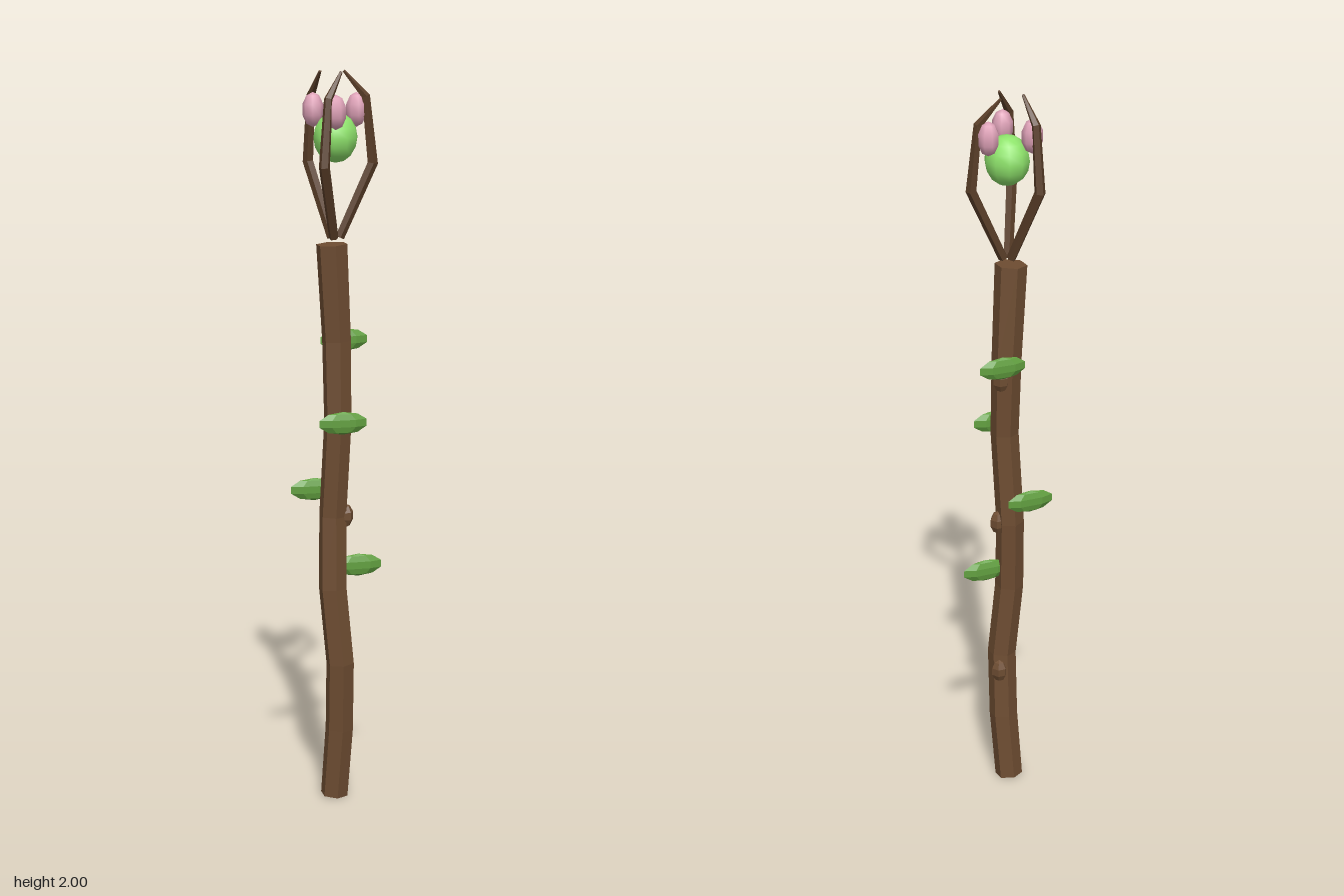
import * as THREE from 'three';

const paint = (color, flatShading) => new THREE.MeshStandardMaterial({ color, flatShading });
const BARK = paint(0x6e4d32, true);
const TWIG = paint(0x5a3e28, true);
const LEAF = paint(0x62a040, true);
const BUD = paint(0xdfa2b8, false);
const ORB = paint(0x8fe46c, false);

// Capped, mitred branch: a regular ring at each point [x, y, z, radius]
function branchGeometry(path, sides) {
  const pts = path.map(([x, y, z]) => new THREE.Vector3(x, y, z));
  const pos = [], idx = [];
  pts.forEach((p, i) => {
    const t = new THREE.Vector3();
    if (i > 0) t.add(p.clone().sub(pts[i - 1]).normalize());
    if (i < pts.length - 1) t.add(pts[i + 1].clone().sub(p).normalize());
    t.normalize();
    const u = new THREE.Vector3(0, 0, 1).addScaledVector(t, -t.z).normalize();
    const v = t.clone().cross(u);
    for (let j = 0; j < sides; j++) {
      const a = (j / sides) * Math.PI * 2, r = path[i][3];
      const q = p.clone().addScaledVector(u, r * Math.cos(a)).addScaledVector(v, r * Math.sin(a));
      pos.push(q.x, q.y, q.z);
    }
  });
  const last = (pts.length - 1) * sides;
  for (let i = 0; i < last; i += sides) {
    for (let j = 0; j < sides; j++) {
      const k = (j + 1) % sides;
      idx.push(i + j, i + k, i + sides + k, i + j, i + sides + k, i + sides + j);
    }
  }
  // End caps
  for (let j = 1; j < sides - 1; j++) {
    idx.push(0, j + 1, j, last, last + j, last + j + 1);
  }
  const g = new THREE.BufferGeometry();
  g.setAttribute('position', new THREE.Float32BufferAttribute(pos, 3));
  g.setIndex(idx);
  const flat = g.toNonIndexed();
  flat.computeVertexNormals();
  return flat;
}

function add(parent, name, geometry, material, position = [0, 0, 0], scale = [1, 1, 1]) {
  const mesh = new THREE.Mesh(geometry, material);
  mesh.name = name;
  mesh.position.set(...position);
  mesh.scale.set(...scale);
  parent.add(mesh);
  return mesh;
}

export function createModel() {
  const model = new THREE.Group();
  model.name = 'wandStaff';

  // Crooked six-sided shaft
  add(model, 'shaft', branchGeometry([
    [-0.01, 0.005, -0.01, 0.038],
    [0.001, 0.2, 0.003, 0.039],
    [0, 0.39, 0.016, 0.039],
    [-0.018, 0.6, 0.006, 0.039],
    [-0.015, 0.8, -0.006, 0.038],
    [-0.004, 1.06, 0.006, 0.038],
    [-0.004, 1.28, -0.007, 0.04],
    [-0.018, 1.542, -0.004, 0.043],
  ], 6), BARK);

  // Knots on the bark
  const knot = new THREE.SphereGeometry(1, 6, 5);
  [[0.02, 0.345, -0.012], [0.019, 0.8, -0.002], [0.018, 1.225, -0.02]].forEach((p) =>
    add(model, 'knot', knot, BARK, p, [0.023, 0.033, 0.023]));

  // Flat leaves around the shaft
  const leaf = new THREE.SphereGeometry(1, 6, 5);
  [[0.055, 0.66, 0], [-0.057, 0.868, -0.046], [-0.005, 1.07, 0.067], [0.029, 1.275, -0.056]].forEach((p) =>
    add(model, 'leaf', leaf, LEAF, p, [0.068, 0.031, 0.013]));

  // Orb held in the crown
  add(model, 'orb', new THREE.SphereGeometry(1, 10, 8), ORB, [-0.009, 1.825, 0.001], [0.06, 0.067, 0.06]);

  // Three curling prongs, each with a bud
  const prongGeometry = branchGeometry([
    [0.012, 1.56, 0, 0.013],
    [0.102, 1.755, 0, 0.015],
    [0.085, 1.93, -0.006, 0.012],
    [0.03, 1.997, -0.025, 0.004],
  ], 5);
  const bud = new THREE.SphereGeometry(1, 8, 5);
  for (let i = 0; i < 3; i++) {
    const claw = new THREE.Group();
    claw.name = 'claw';
    claw.position.x = -0.01;
    claw.rotation.y = (-i * Math.PI * 2) / 3;
    add(claw, 'prong', prongGeometry, TWIG);
    add(claw, 'bud', bud, BUD, [0.063, 1.895, -0.02], [0.029, 0.046, 0.029]);
    model.add(claw);
  }
  return model;
}
